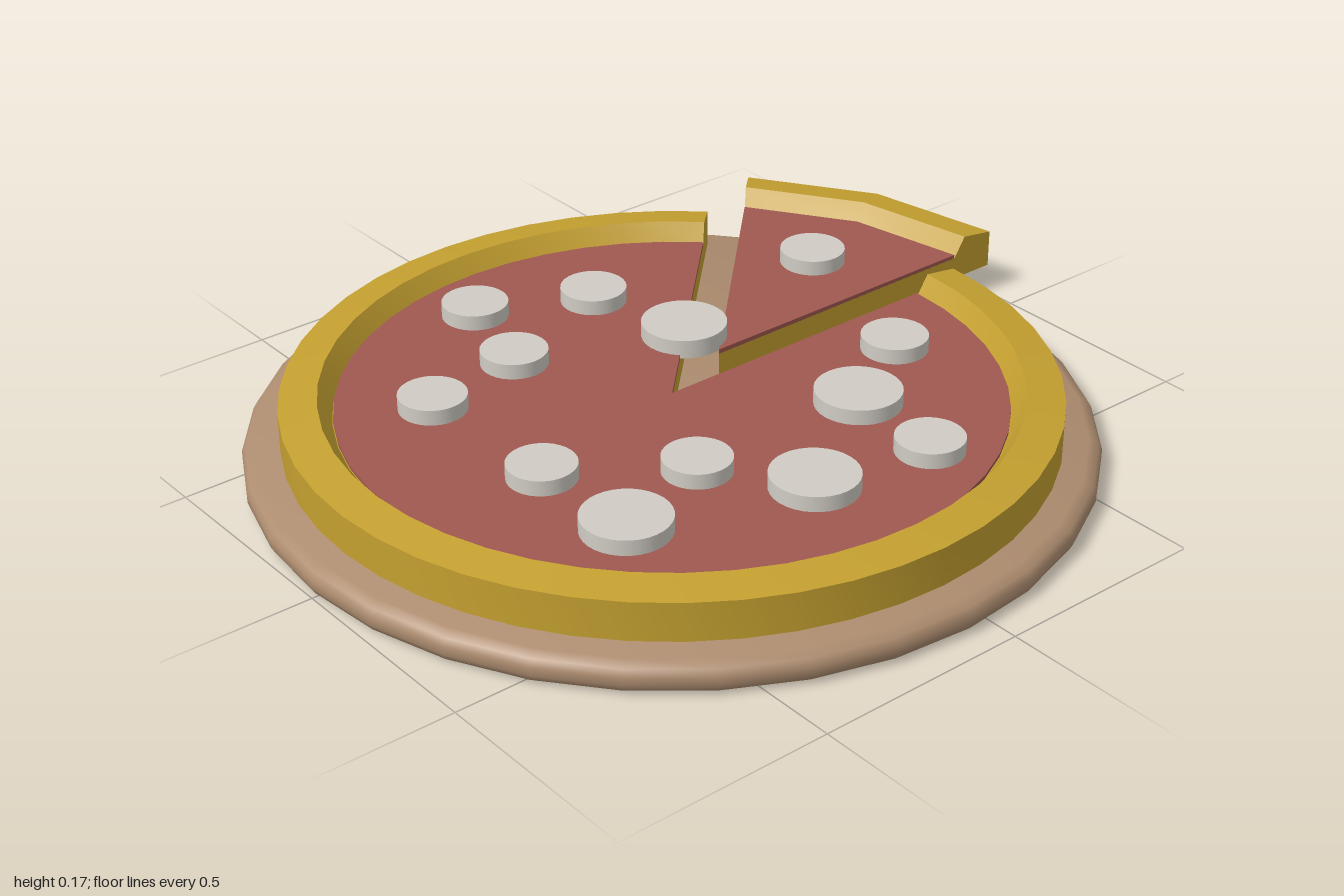
import * as THREE from 'three';
import { toCreasedNormals } from 'three/addons/utils/BufferGeometryUtils.js';

const material = (name, color, side = THREE.FrontSide) => {
  const m = new THREE.MeshStandardMaterial({ color, side });
  m.name = name;
  return m;
};
const points = (list) => list.map(([x, y]) => new THREE.Vector2(x, y));

// Half cross-sections: radius, height
const PLATE = [[0, 0], [0.91, 0], [0.932, 0.01], [0.94, 0.025], [0.94, 0.045], [0.932, 0.06], [0.91, 0.07], [0, 0.07]];
const CRUST = [[0, 0.072], [0.855, 0.072], [0.855, 0.162], [0.77, 0.175], [0.74, 0.128], [0, 0.125]];
const SAUCE = [[0, 0.125], [0.738, 0.125], [0.738, 0.136], [0, 0.136]];

// Small toppings, then large ones: x, z, radius
const TOPPINGS = [
  [-0.18, -0.57, 0.077], [0.075, -0.455, 0.077], [-0.245, -0.33, 0.077], [-0.5, -0.28, 0.077],
  [0.6, -0.28, 0.077], [-0.49, 0.1, 0.077], [-0.225, 0.285, 0.077], [0.455, 0.16, 0.077], [0.205, 0.535, 0.077],
  [0.13, -0.19, 0.098], [-0.48, 0.37, 0.098], [0.225, 0.29, 0.098], [-0.08, 0.49, 0.098],
];

export function createModel() {
  const root = new THREE.Group();
  root.name = 'pizzaOnPlate';
  const plateMat = material('woodBrown', 0xae8d70);
  const crustMat = material('crustGold', 0xc4a030, THREE.DoubleSide);
  const sauceMat = material('sauceRed', 0x9f5850, THREE.DoubleSide);
  const toppingMat = material('mushroomGrey', 0xd0ccc4);

  const add = (parent, name, geometry, mat) => {
    const mesh = new THREE.Mesh(geometry, mat);
    mesh.name = name;
    parent.add(mesh);
    return mesh;
  };

  // A solid sector: revolved profile closed by its two cut faces
  const addSector = (parent, name, profile, mat, start, end, segments) => {
    const lathe = new THREE.LatheGeometry(points(profile), segments, start + Math.PI / 2, end - start);
    add(parent, name, toCreasedNormals(lathe, 0.4), mat);
    // start faces as built; the end face is reversed to look outward
    [start, end].forEach((angle, i) => {
      const cap = new THREE.ShapeGeometry(new THREE.Shape(points(profile)));
      if (i === 1) {
        cap.index.array.reverse();
        cap.attributes.normal.array.forEach((v, k, a) => { a[k] = -v; });
      }
      cap.rotateY(angle);
      add(parent, name + 'CutFace', cap, mat);
    });
  };

  // Round plate with a soft rim
  const plate = add(root, 'plate', toCreasedNormals(new THREE.LatheGeometry(points(PLATE), 32), 0.7), plateMat);
  plate.position.x = -0.06;

  // Pizza with one eighth missing, and the slice pulled out of it
  const addPizza = (name, x, z, start, end, segments) => {
    const group = new THREE.Group();
    group.name = name;
    group.position.set(x, 0, z);
    addSector(group, 'crust', CRUST, crustMat, start, end, segments);
    addSector(group, 'sauce', SAUCE, sauceMat, start, end, segments);
    root.add(group);
  };
  addPizza('pizza', -0.06, 0, Math.PI / 4, Math.PI * 2, 42);
  addPizza('slice', 0.145, -0.085, 0, Math.PI / 4, 2);

  // Round toppings
  const toppings = new THREE.Group();
  toppings.name = 'toppings';
  for (const [x, z, r] of TOPPINGS) {
    const disc = add(toppings, 'topping', new THREE.CylinderGeometry(r, r, 0.044, 32), toppingMat);
    disc.position.set(x, 0.15, z);
  }
  root.add(toppings);
  return root;
}
